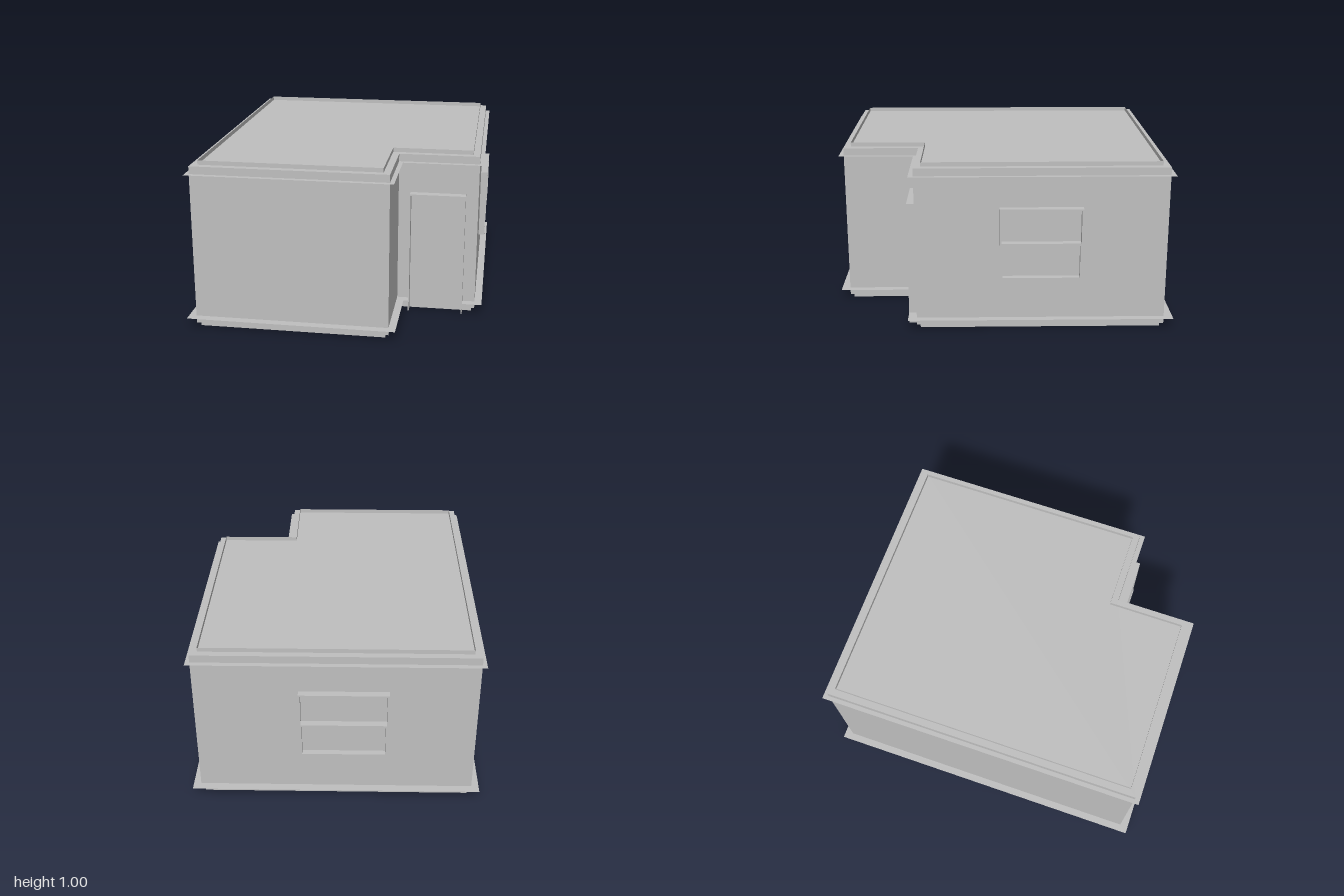
import * as THREE from 'three';

const plaster = new THREE.MeshStandardMaterial({ color: 0xbfbfbf, side: THREE.DoubleSide });
plaster.name = 'plain grey';

// Wall footprint corners (x, z), each with its outward direction; two points mark the door.
const footprint = [
  [-0.8, 0.95, -1, 1], [0.33, 0.95, 1, 1], [0.33, 0.5, 1, 1],
  [0.4, 0.5, 0, 1], [0.725, 0.5, 0, 1],
  [0.8, 0.5, 1, 1], [0.8, -0.95, 1, -1], [-0.8, -0.95, -1, -1],
];
const DOOR_EDGE = 3;
const outline = (dx, dz) => footprint.map(([x, z, sx, sz]) => [x + sx * dx, z + sz * dz]);

function mesh(name, geometry) {
  const m = new THREE.Mesh(geometry, plaster);
  m.name = name;
  return m;
}

// Thin band joining two outlines at given heights
function band(name, a, ya, b, yb, skip = -1) {
  const pos = [];
  a.forEach((p, i) => {
    if (i === skip) return;
    const j = (i + 1) % a.length;
    const A = [p[0], ya, p[1]], B = [a[j][0], ya, a[j][1]];
    const C = [b[j][0], yb, b[j][1]], D = [b[i][0], yb, b[i][1]];
    pos.push(...A, ...B, ...C, ...A, ...C, ...D);
  });
  const g = new THREE.BufferGeometry();
  g.setAttribute('position', new THREE.Float32BufferAttribute(pos, 3));
  g.computeVertexNormals();
  return mesh(name, g);
}

// Board from min/max corners
function board(name, x0, x1, y0, y1, z0, z1) {
  const g = new THREE.BoxGeometry(x1 - x0, y1 - y0, z1 - z0);
  g.translate((x0 + x1) / 2, (y0 + y1) / 2, (z0 + z1) / 2);
  return mesh(name, g);
}

// Window with two sashes, standing out along +z from the wall at z = 0
function createWindow(name) {
  const w = new THREE.Group();
  w.name = name;
  const sash = (label, half, y0, y1, t, depth) => {
    w.add(
      board(label + 'Top', -half, half, y1 - t, y1, 0, depth),
      board(label + 'Bottom', -half, half, y0, y0 + t, 0, depth),
      board(label + 'JambLeft', half - t, half, y0, y1, 0, depth),
      board(label + 'JambRight', -half, -half + t, y0, y1, 0, depth),
    );
  };
  sash('upperSash', 0.238, 0.53, 0.745, 0.01, 0.042);
  sash('lowerSash', 0.228, 0.325, 0.53, 0.005, 0.036);
  return w;
}

export function createModel() {
  const house = new THREE.Group();
  house.name = 'house';
  const wall = outline(0, 0);

  // Wall block with flat roof and floor
  const shape = new THREE.Shape(wall.map(([x, z]) => new THREE.Vector2(x, -z)));
  const block = new THREE.ExtrudeGeometry(shape, { depth: 0.95, bevelEnabled: false });
  block.rotateX(-Math.PI / 2);
  block.translate(0, 0.025, 0);
  house.add(mesh('walls', block));

  // Roof rim and base rim, set in from the walls
  const rim = outline(-0.04, -0.04);
  house.add(band('roofRim', rim, 0.975, rim, 1));
  const base = outline(-0.02, -0.02);
  house.add(band('baseRim', base, 0, base, 0.025));

  // Ledges running round the walls, the lower one broken by the door
  house.add(band('upperLedge', wall, 0.93, outline(0.025, 0.03), 0.93));
  house.add(band('lowerLedge', wall, 0.07, outline(0.043, 0.05), 0.07, DOOR_EDGE));

  // Door frame
  const door = new THREE.Group();
  door.name = 'doorFrame';
  door.add(
    board('doorHead', 0.4, 0.727, 0.737, 0.745, 0.5, 0.55),
    board('doorJambLeft', 0.72, 0.727, 0.005, 0.745, 0.5, 0.55),
    board('doorJambRight', 0.4, 0.406, 0.005, 0.745, 0.5, 0.55),
  );
  house.add(door);

  // Windows
  const side = createWindow('sideWindow');
  side.rotation.y = Math.PI / 2;
  side.position.set(0.8, 0, -0.223);
  const back = createWindow('backWindow');
  back.rotation.y = Math.PI;
  back.position.set(-0.045, 0, -0.95);
  back.scale.x = 1.07;
  house.add(side, back);

  return house;
}
